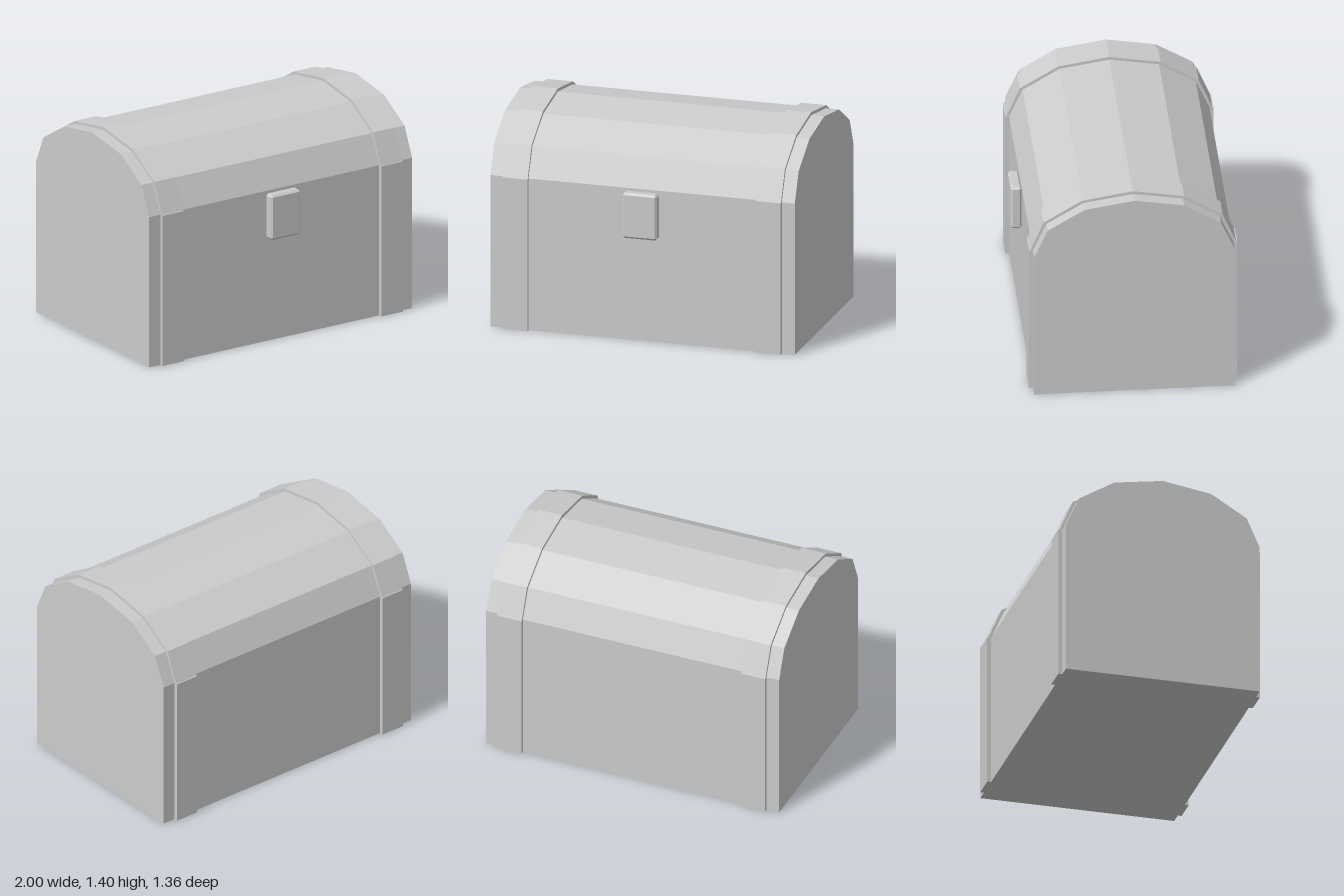
import * as THREE from 'three';
import { ConvexGeometry } from 'three/addons/geometries/ConvexGeometry.js';

const CENTER_Z = -0.021;

// Right half of each cross-section, as [half depth, height], up to the ridge
const BODY_ARCH = [[0.632, 1.0], [0.547, 1.19], [0.314, 1.33], [0, 1.38]];
const STRAP_ARCH = [[0.65, 1.0], [0.565, 1.2], [0.323, 1.347], [0, 1.4]];

// Mirror a half arch into a full run of points from front to back
function fullArch(half) {
  const back = half.slice(0, -1).reverse().map(([z, y]) => [-z, y]);
  return [...half, ...back].map(([z, y]) => new THREE.Vector2(z, y));
}

// Extrude a (z, y) outline along x, centred on x = 0
function prism(points, width) {
  const geometry = new THREE.ExtrudeGeometry(new THREE.Shape(points), { depth: width, bevelEnabled: false });
  geometry.translate(0, 0, -width / 2);
  geometry.rotateY(-Math.PI / 2);
  return geometry;
}

// Box with every edge and corner chamfered
function chamferedBox(w, h, d, c) {
  const points = [];
  for (const sx of [-1, 1]) for (const sy of [-1, 1]) for (const sz of [-1, 1]) {
    for (let axis = 0; axis < 3; axis++) {
      const p = [w / 2, h / 2, d / 2].map((v, i) => (i === axis ? v : v - c));
      points.push(new THREE.Vector3(p[0] * sx, p[1] * sy, p[2] * sz));
    }
  }
  return new ConvexGeometry(points);
}

export function createModel() {
  const chest = new THREE.Group();
  chest.name = 'chest';
  const grey = new THREE.MeshStandardMaterial({ color: 0xcccccc, flatShading: true });
  grey.name = 'light grey';

  function add(name, geometry, x, y, z) {
    const mesh = new THREE.Mesh(geometry, grey);
    mesh.name = name;
    mesh.position.set(x, y, z);
    chest.add(mesh);
  }

  // Body with its faceted barrel lid
  const bodyOutline = [new THREE.Vector2(-0.632, 0), new THREE.Vector2(0.632, 0), ...fullArch(BODY_ARCH)];
  add('body', prism(bodyOutline, 2), 0, 0, CENTER_Z);

  // Straps: an arch over the lid and an upright on the front and back
  const strapWidth = 0.165;
  const strapOutline = [...fullArch(STRAP_ARCH), ...fullArch(BODY_ARCH).reverse()];
  for (const side of [-1, 1]) {
    const label = side > 0 ? 'left' : 'right';
    const x = side * 0.832;
    add(label + 'LidStrap', prism(strapOutline, strapWidth), x, 0, CENTER_Z);
    for (const face of [-1, 1]) {
      add(label + (face > 0 ? 'Front' : 'Back') + 'Strap',
        new THREE.BoxGeometry(strapWidth, 1, 0.025), x, 0.5, CENTER_Z + face * 0.6445);
    }
  }

  // Lock plate on the front
  add('lock', chamferedBox(0.226, 0.298, 0.07, 0.013), -0.002, 0.836, 0.643);

  return chest;
}
